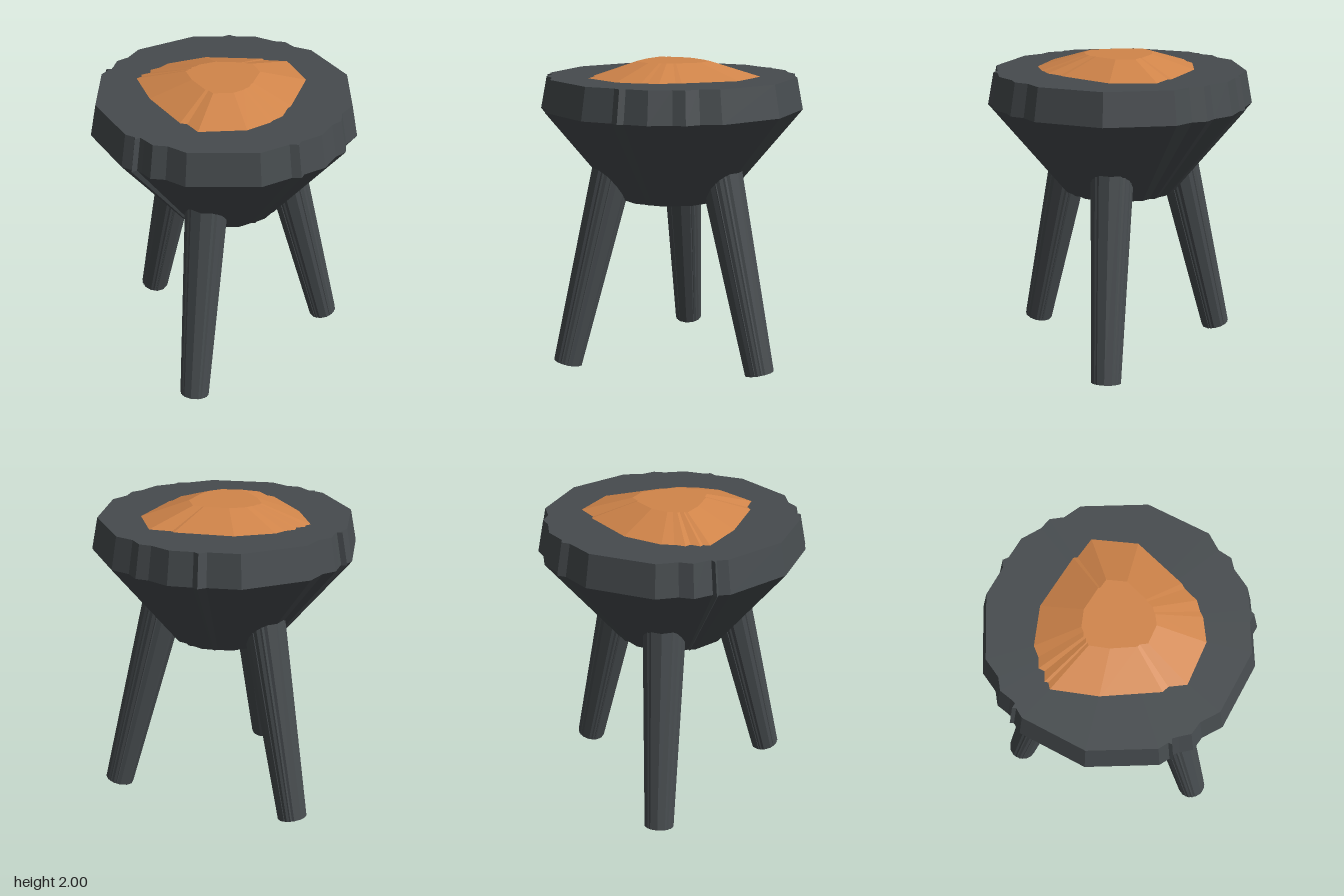
import * as THREE from 'three';

// Knobbly rim outline: half of it, from +x round to -x, as [x, z]
const HALF = [
  [0.855, 0], [0.741, 0.426], [0.64, 0.51], [0.604, 0.6], [0.53, 0.635], [0.426, 0.741],
  [0.28, 0.785], [0.255, 0.818], [0.2, 0.802], [0, 0.855], [-0.426, 0.741], [-0.52, 0.635],
  [-0.604, 0.6], [-0.64, 0.525], [-0.66, 0.49], [-0.695, 0.5], [-0.69, 0.475],
  [-0.741, 0.426], [-0.855, 0],
];
const OUTLINE = [
  ...HALF.map(([x, z]) => [x, -z]),
  ...HALF.slice(1, -1).reverse(),
];

// Uneven outline of the mound, counter-clockwise seen from above
const MOUND = [
  [0.555, 0], [0.517, -0.295], [0.375, -0.35], [0.365, -0.375], [0, -0.495], [-0.265, -0.465],
  [-0.33, -0.42], [-0.4, -0.4], [-0.41, -0.36], [-0.475, -0.345], [-0.475, -0.32],
  [-0.515, -0.3], [-0.49, 0], [-0.375, 0.365], [-0.335, 0.39], [-0.295, 0.5], [0, 0.555],
  [0.16, 0.5], [0.19, 0.475], [0.26, 0.44], [0.32, 0.35], [0.35, 0.325],
];

// Closed faceted solid: an outline scaled at each [scale, y] level, bottom to top
function loft(outline, levels) {
  const pos = [];
  const n = outline.length;
  const at = (l, i) => {
    const [s, y] = levels[l];
    const [x, z] = outline[i % n];
    return [x * s, y, z * s];
  };
  const last = levels.length - 1;
  for (let i = 0; i < n; i++) {
    for (let l = 0; l < last; l++) {
      const a = at(l, i), b = at(l, i + 1), c = at(l + 1, i + 1), d = at(l + 1, i);
      pos.push(...a, ...b, ...c, ...a, ...c, ...d);
    }
    pos.push(0, levels[0][1], 0, ...at(0, i + 1), ...at(0, i));
    pos.push(0, levels[last][1], 0, ...at(last, i), ...at(last, i + 1));
  }
  const g = new THREE.BufferGeometry();
  g.setAttribute('position', new THREE.Float32BufferAttribute(pos, 3));
  g.computeVertexNormals();
  return g;
}

export function createModel() {
  const model = new THREE.Group();
  const iron = new THREE.MeshStandardMaterial({ name: 'dark iron', color: 0x464b4e, flatShading: true });
  const ember = new THREE.MeshStandardMaterial({ name: 'orange ember', color: 0xd1854a, flatShading: true });
  const add = (parent, name, geometry, material) => {
    const mesh = new THREE.Mesh(geometry, material);
    mesh.name = name;
    parent.add(mesh);
    return mesh;
  };

  // Bowl with a steep band round the top
  add(model, 'bowl', loft(OUTLINE, [[0.435, 1.11], [1, 1.7], [0.953, 1.905]]), iron);

  // Glowing mound with a flat top
  add(model, 'emberMound', loft(MOUND, [[1, 1.9], [0.42, 2]]), ember);

  // Three splayed legs, wider at the top
  const legGeometry = loft(OUTLINE, [[0.095 / 0.855, 0], [0.142 / 0.855, 1.48]]);
  for (let k = 0; k < 3; k++) {
    const pivot = new THREE.Group();
    pivot.name = 'legPivot' + (k + 1);
    pivot.rotation.y = (k * Math.PI * 2) / 3;
    const leg = add(pivot, 'leg', legGeometry, iron);
    leg.position.set(0.737, 0.025, 0);
    leg.rotation.z = 0.25;
    model.add(pivot);
  }
  return model;
}
